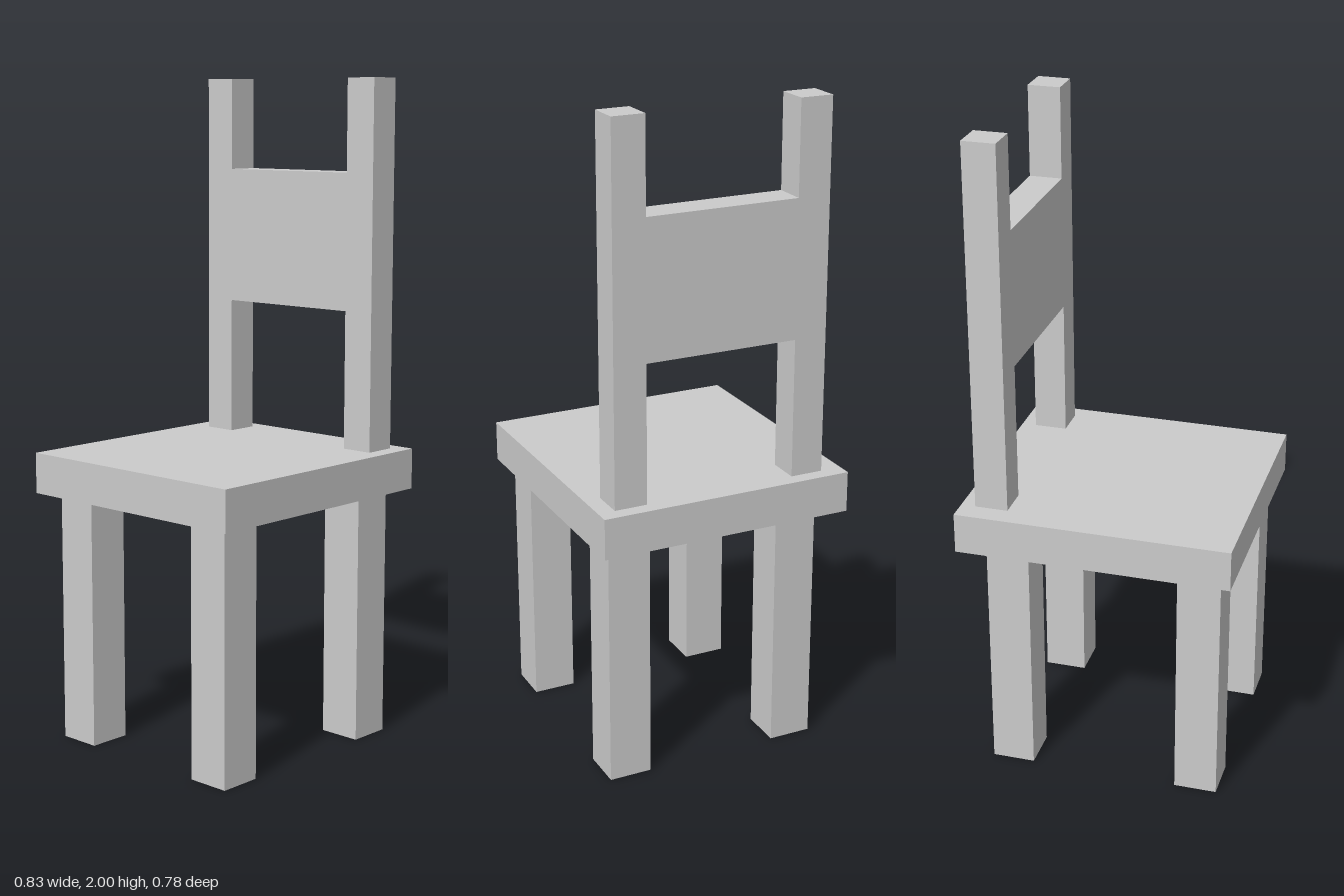
import * as THREE from 'three';

const material = new THREE.MeshStandardMaterial({ color: 0xcccccc, flatShading: true });

// Box given by its [min, max] range on each axis
function addBox(group, name, [x0, x1], [y0, y1], [z0, z1]) {
  const mesh = new THREE.Mesh(new THREE.BoxGeometry(x1 - x0, y1 - y0, z1 - z0), material);
  mesh.position.set((x0 + x1) / 2, (y0 + y1) / 2, (z0 + z1) / 2);
  mesh.name = name;
  group.add(mesh);
}

export function createModel() {
  const chair = new THREE.Group();
  chair.name = 'chair';

  // Seat slab
  addBox(chair, 'seat', [-0.416, 0.416], [0.762, 0.886], [-0.392, 0.392]);

  // Four square legs; the backrest stands on the +x side
  for (const [xName, x] of [['front', [-0.374, -0.243]], ['back', [0.212, 0.343]]]) {
    for (const [zName, z] of [['Left', [0.219, 0.35]], ['Right', [-0.325, -0.194]]]) {
      addBox(chair, `${xName}${zName}Leg`, x, [0, 0.762], z);
    }
  }

  // Backrest: two posts joined by a broad panel of the same thickness
  const backX = [0.272, 0.372];
  addBox(chair, 'leftBackPost', backX, [0.886, 2], [0.241, 0.341]);
  addBox(chair, 'rightBackPost', backX, [0.886, 2], [-0.327, -0.227]);
  addBox(chair, 'backPanel', backX, [1.307, 1.721], [-0.227, 0.241]);

  return chair;
}
